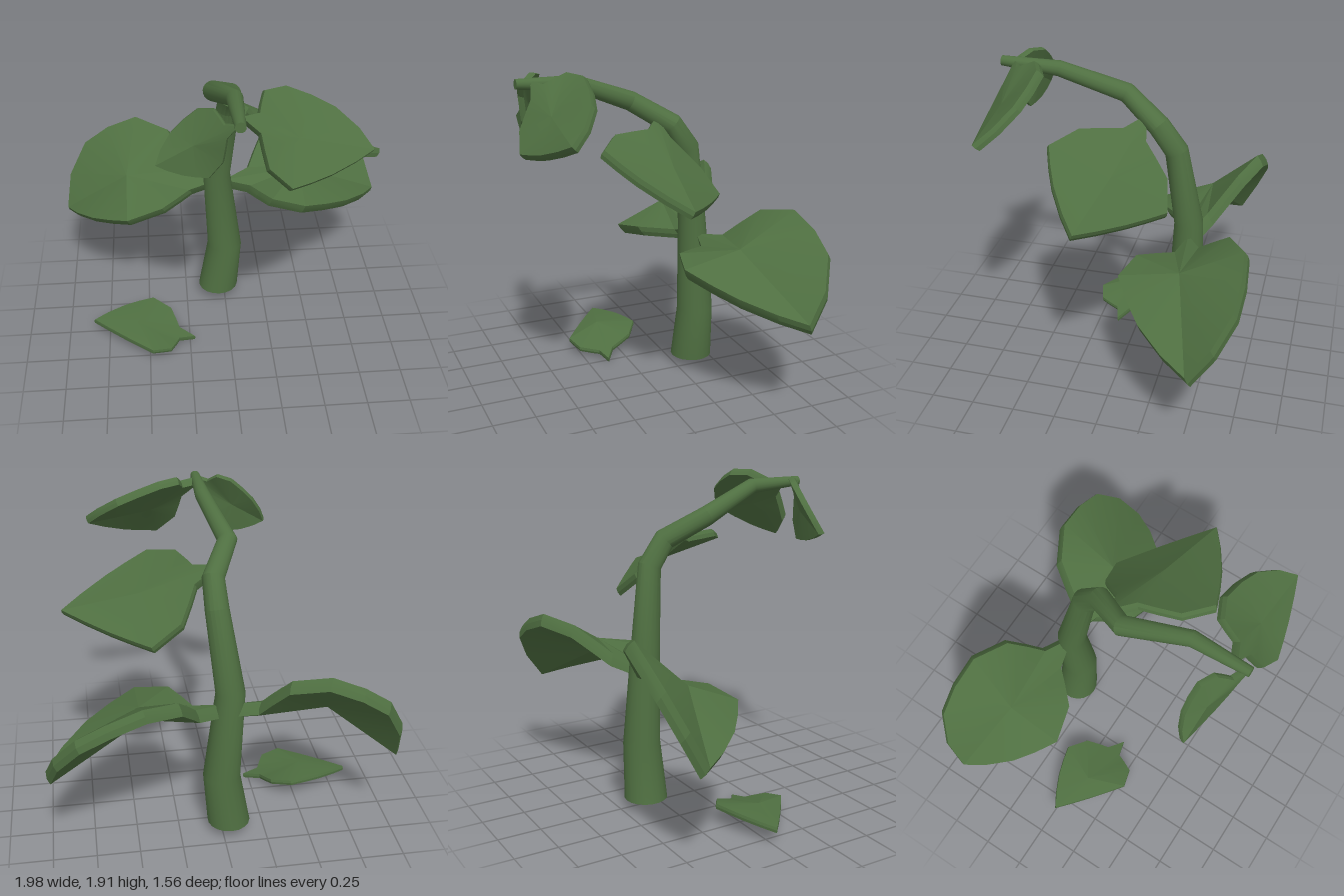
import * as THREE from 'three';
import { toCreasedNormals } from 'three/addons/utils/BufferGeometryUtils.js';

const V = (p) => new THREE.Vector3(...p);

function makeGeometry(vertices, index) {
  const g = new THREE.BufferGeometry().setFromPoints(vertices);
  g.setIndex(index);
  return g;
}

// Tapered stalk: round rings swept through knots [x, y, z, radius], capped at both ends
function stalkGeometry(knots, sides = 18) {
  const pts = knots.map(([x, y, z]) => V([x, y, z]));
  const verts = [], index = [];
  const q = new THREE.Quaternion();
  let last = V([0, 1, 0]);
  pts.forEach((p, i) => {
    const dir = V([0, 1, 0]);
    if (i > 0) {
      dir.subVectors(p, pts[i - 1]).normalize();
      if (i < pts.length - 1) dir.add(pts[i + 1].clone().sub(p).normalize()).normalize();
    }
    q.premultiply(new THREE.Quaternion().setFromUnitVectors(last, dir));
    last = dir;
    for (let j = 0; j < sides; j++) {
      const a = (j / sides) * Math.PI * 2, r = knots[i][3];
      verts.push(V([Math.sin(a) * r, 0, Math.cos(a) * r]).applyQuaternion(q).add(p));
    }
  });
  const top = (pts.length - 1) * sides, c = verts.length;
  verts.push(pts[0].clone(), pts[pts.length - 1].clone());
  for (let j = 0; j < sides; j++) {
    const k = (j + 1) % sides;
    for (let o = 0; o < top; o += sides)
      index.push(o + j, o + k, o + sides + k, o + j, o + sides + k, o + sides + j);
    index.push(c, k, j, c + 1, top + j, top + k);
  }
  return toCreasedNormals(makeGeometry(verts, index), 0.5);
}

// One side of a leaf: a narrow neck flaring to the widest point, then a bulging run to the tip
function leafSide(base, widest, tip, bulge) {
  const weights = [[0.2, 0.07], [0.45, 0], [0.76, -0.08], [1, 0]];
  for (const s of [0.22, 0.45, 0.75]) weights.push([1 - s + bulge * Math.sin(Math.PI * s), s]);
  const toWidest = widest.clone().sub(base), toTip = tip.clone().sub(base);
  return weights.map(([e, t]) =>
    base.clone().addScaledVector(toWidest, e).addScaledVector(toTip, t));
}

// Thick leaf: rim fanned around a hub, with a slightly swollen edge between both faces
function leafGeometry({ base, tip, hub, back, front, bulge, thickness }) {
  const [b, t, h] = [base, tip, hub].map(V);
  const rim = [b, ...leafSide(b, V(back), t, bulge[0]), t,
    ...leafSide(b, V(front), t, bulge[1]).reverse()];
  const n = rim.length;
  const normal = V([0, 0, 0]);
  rim.forEach((p, i) => {
    const next = rim[(i + 1) % n];
    normal.add(p.clone().sub(h).cross(next.clone().sub(h)));
  });
  // Keep the upper face outward on leaves of either side
  if (normal.y + normal.z < 0) {
    rim.reverse();
    normal.negate();
  }
  normal.normalize();
  const layer = (scale, depth) => rim.map((p) =>
    p.clone().sub(h).multiplyScalar(scale).add(h).addScaledVector(normal, -depth));
  const verts = [
    ...layer(1, 0), ...layer(1.015, thickness * 0.5), ...layer(1, thickness),
    h, h.clone().addScaledVector(normal, -thickness),
  ];
  const index = [];
  for (let i = 0; i < n; i++) {
    const k = (i + 1) % n;
    index.push(3 * n, i, k, 3 * n + 1, 2 * n + k, 2 * n + i);
    for (let o = 0; o < 2 * n; o += n)
      index.push(o + i, o + n + i, o + n + k, o + i, o + n + k, o + k);
  }
  return toCreasedNormals(makeGeometry(verts, index), 0.3);
}

export function createModel() {
  const model = new THREE.Group();
  model.name = 'plant';
  const green = new THREE.MeshStandardMaterial({ color: 0x4f6f41 });
  const add = (name, geometry) => {
    const mesh = new THREE.Mesh(geometry, green);
    mesh.name = name;
    model.add(mesh);
  };
  const addLeaf = (name, leaf) => add(name, leafGeometry(leaf));

  // Stem from the cut base to the drooping tip
  add('stem', stalkGeometry([
    [-0.04, 0.07, -0.355, 0.125], [0.003, 0.4, -0.355, 0.108], [-0.045, 0.94, -0.35, 0.084],
    [0.02, 1.42, -0.28, 0.067], [0.025, 1.56, -0.18, 0.063], [-0.085, 1.69, 0.03, 0.056],
    [0, 1.83, 0.39, 0.044], [0, 1.845, 0.72, 0.028],
  ]));

  // Pair of large lower leaves
  addLeaf('lowerLeftLeaf', {
    base: [0, 0.87, -0.36], tip: [0.99, 0.65, -0.54], hub: [0.47, 0.92, -0.4],
    back: [0.47, 1.11, -0.74], front: [0.47, 0.85, -0.06], bulge: [0.25, 0.12], thickness: 0.075,
  });
  addLeaf('lowerRightLeaf', {
    base: [-0.04, 0.87, -0.36], tip: [-0.99, 0.62, -0.51], hub: [-0.6, 0.91, -0.4],
    back: [-0.53, 1.17, -0.67], front: [-0.6, 0.78, -0.09], bulge: [0.25, 0.08], thickness: 0.075,
  });

  // Single leaf halfway up the bend
  addLeaf('middleLeaf', {
    base: [-0.02, 1.6, -0.1], tip: [0.85, 1.31, 0.07], hub: [0.42, 1.42, -0.01],
    back: [0.38, 1.23, -0.31], front: [0.34, 1.53, 0.35], bulge: [0.02, 0.05], thickness: 0.05,
  });

  // Pair of leaves hanging from the tip
  addLeaf('upperLeftLeaf', {
    base: [0.01, 1.86, 0.64], tip: [0.67, 1.65, 0.64], hub: [0.3, 1.72, 0.62],
    back: [0.25, 1.91, 0.43], front: [0.25, 1.53, 0.78], bulge: [0.24, 0.05], thickness: 0.05,
  });
  addLeaf('upperRightLeaf', {
    base: [-0.01, 1.85, 0.71], tip: [-0.41, 1.59, 0.61], hub: [-0.22, 1.7, 0.62],
    back: [-0.2, 1.865, 0.56], front: [-0.15, 1.53, 0.65], bulge: [0.18, 0.06], thickness: 0.035,
  });

  // Leaf lying on the ground
  addLeaf('fallenLeaf', {
    base: [-0.22, 0.035, 0.13], tip: [-0.84, 0.11, 0.01], hub: [-0.57, 0.13, 0.08],
    back: [-0.47, 0.14, -0.14], front: [-0.48, 0.09, 0.3], bulge: [0.06, 0.02], thickness: 0.03,
  });
  return model;
}
